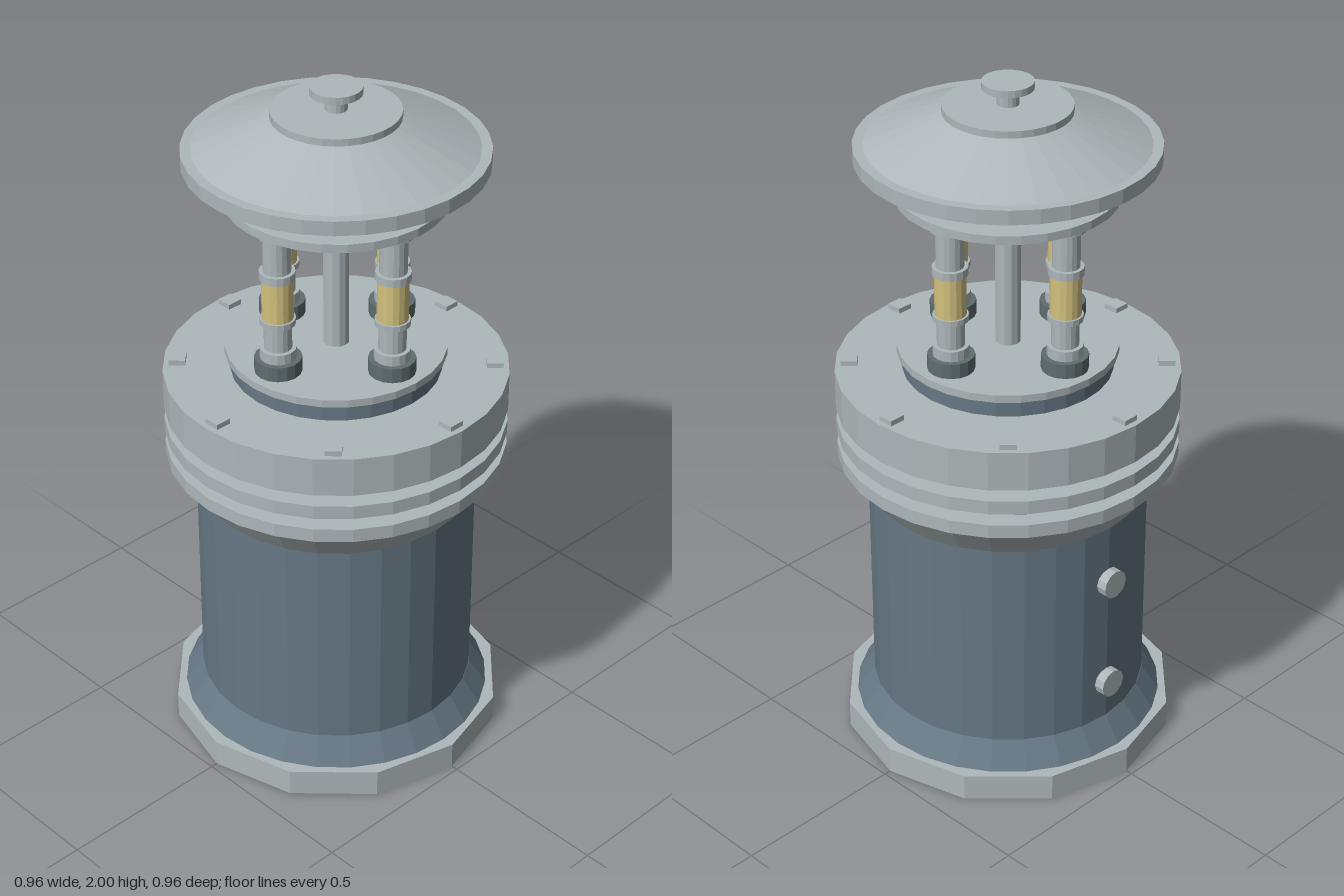
import * as THREE from 'three';

const paint = (name, color) => {
  const m = new THREE.MeshStandardMaterial({ color, flatShading: true });
  m.name = name;
  return m;
};

export function createModel() {
  const steel = paint('pale steel', 0xaeb7ba);
  const slate = paint('slate blue', 0x667885);
  const iron = paint('dark iron', 0x5f6d71);
  const amber = paint('amber band', 0xd3c27f);

  const model = new THREE.Group();
  model.name = 'canister';

  // Upright round section from y0 to y1, optionally tapered
  const round = (name, mat, y0, y1, r0, r1 = r0, sides = 28, parent = model) => {
    const mesh = new THREE.Mesh(new THREE.CylinderGeometry(r1, r0, y1 - y0, sides), mat);
    mesh.position.y = (y0 + y1) / 2;
    mesh.name = name;
    parent.add(mesh);
    return mesh;
  };

  // Base and body
  round('basePlate', steel, 0, 0.08, 0.48, 0.48, 12);
  round('footTaper', slate, 0.08, 0.155, 0.445, 0.395);
  round('body', slate, 0.155, 0.795, 0.394);
  round('collarTaper', steel, 0.795, 0.895, 0.394, 0.465);

  // Stacked cooling rings with recessed grooves
  round('lowerRing', steel, 0.895, 0.935, 0.478);
  round('lowerGroove', slate, 0.935, 0.97, 0.425);
  round('middleRing', steel, 0.97, 1.01, 0.478);
  round('upperGroove', slate, 1.01, 1.045, 0.425);
  round('upperRing', steel, 1.045, 1.09, 0.478);
  round('topFlange', steel, 1.09, 1.16, 0.478);

  // Square bolts around the flange
  for (let i = 0; i < 8; i++) {
    const a = (i * Math.PI) / 4;
    const bolt = new THREE.Mesh(new THREE.BoxGeometry(0.046, 0.025, 0.046), steel);
    bolt.position.set(Math.sin(a) * 0.437, 1.1625, Math.cos(a) * 0.437);
    bolt.rotation.y = a;
    bolt.name = 'flangeBolt';
    model.add(bolt);
  }

  // Side buttons
  for (const y of [0.28, 0.62]) {
    const button = round('sideButton', steel, 0, 0.05, 0.042, 0.042, 12);
    button.rotation.z = Math.PI / 2;
    button.position.set(-0.395, y, 0);
  }

  // Hub, centre rod and upper plate
  round('hub', slate, 1.16, 1.21, 0.292);
  round('hubPlate', steel, 1.21, 1.232, 0.306);
  round('centreRod', steel, 1.232, 1.678, 0.036, 0.036, 12);
  round('upperPlate', steel, 1.678, 1.702, 0.304);

  // Four pillars: name, material, bottom, top, radius
  const sections = [
    ['pillarFoot', iron, 1.232, 1.275, 0.065],
    ['pillarLowerCollar', steel, 1.275, 1.305, 0.05],
    ['pillarLowerShaft', steel, 1.305, 1.38, 0.038],
    ['pillarLowerBead', steel, 1.38, 1.397, 0.049],
    ['pillarBand', amber, 1.397, 1.517, 0.043],
    ['pillarUpperBead', steel, 1.517, 1.54, 0.049],
    ['pillarUpperShaft', steel, 1.54, 1.648, 0.038],
    ['pillarUpperCollar', steel, 1.648, 1.678, 0.054],
  ];
  for (let i = 0; i < 4; i++) {
    const pillar = new THREE.Group();
    const a = (i * Math.PI) / 2;
    pillar.position.set(Math.sin(a) * 0.216, 0, Math.cos(a) * 0.216);
    pillar.name = 'pillar';
    for (const [name, mat, y0, y1, r] of sections) round(name, mat, y0, y1, r, r, 16, pillar);
    model.add(pillar);
  }

  // Raised lid with knob
  round('lidUnderside', slate, 1.757, 1.787, 0.338);
  round('lidRim', steel, 1.787, 1.828, 0.41, 0.41, 32);
  round('lidCone', steel, 1.828, 1.915, 0.382, 0.175, 32);
  round('lidCap', steel, 1.915, 1.935, 0.174, 0.174, 32);
  round('knobStem', steel, 1.935, 1.98, 0.03, 0.03, 16);
  round('knob', steel, 1.98, 2, 0.07, 0.07, 24);

  return model;
}
